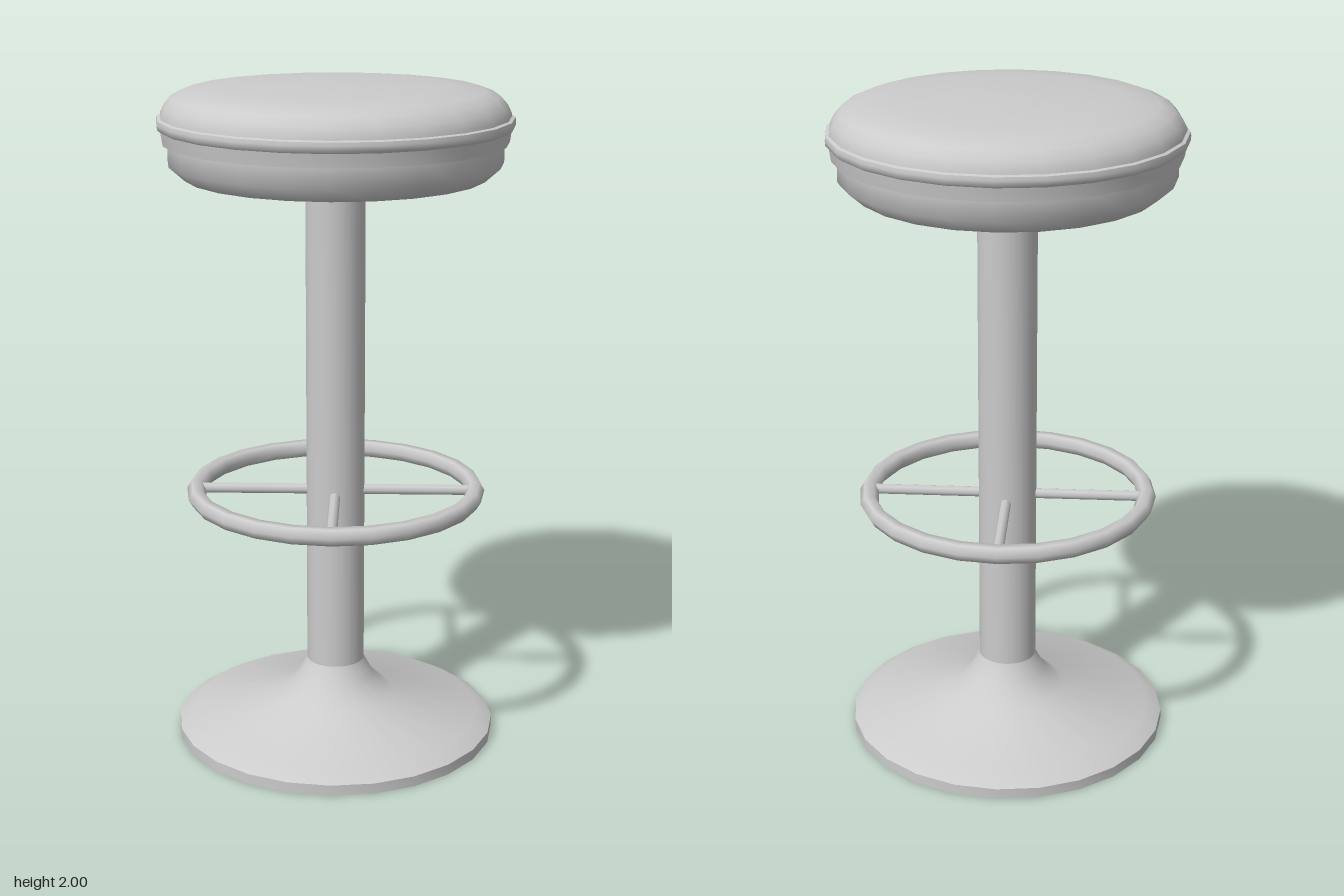
import * as THREE from 'three';
import { toCreasedNormals } from 'three/addons/utils/BufferGeometryUtils.js';

const SIDES = 24;

export function createModel() {
  const stool = new THREE.Group();
  stool.name = 'barStool';
  const solid = new THREE.MeshStandardMaterial({ color: 0xcccccc });
  const thin = new THREE.MeshStandardMaterial({ color: 0xcccccc, side: THREE.DoubleSide });

  const add = (name, geometry, material = solid) => {
    const mesh = new THREE.Mesh(geometry, material);
    mesh.name = name;
    stool.add(mesh);
    return mesh;
  };

  // Turned part from [radius, height] pairs, listed bottom to top
  const turned = (name, profile, material) => {
    const points = profile.map(([r, y]) => new THREE.Vector2(r, y));
    return add(name, toCreasedNormals(new THREE.LatheGeometry(points, SIDES), 0.9), material);
  };

  // Hollow trumpet foot
  turned('base', [
    [0.487, 0], [0.487, 0.032], [0.44, 0.06], [0.175, 0.117], [0.115, 0.175], [0.0875, 0.228],
  ], thin);

  // Column, open into the foot
  turned('column', [[0.0875, 0.228], [0.0875, 1.74]], thin);

  // Collar where the column meets the seat
  turned('collar', [[0.0875, 1.71], [0.115, 1.735]], thin);

  // Seat pan with chamfered lower edge
  turned('seatPan', [
    [0, 1.728], [0.4, 1.728], [0.44, 1.73], [0.485, 1.77], [0.485, 1.832],
  ]);

  // Lower band of the cushion
  turned('seatBand', [[0.47, 1.83], [0.5, 1.83], [0.503, 1.85], [0.507, 1.876]], thin);

  // Piping around the seam
  turned('piping', [
    [0.505, 1.868], [0.515, 1.876], [0.516, 1.89], [0.514, 1.9], [0.502, 1.904],
  ], thin);

  // Padded top
  turned('cushion', [
    [0.505, 1.885], [0.504, 1.91], [0.492, 1.935], [0.47, 1.96], [0.43, 1.976],
    [0.33, 1.987], [0.2, 1.993], [0.07, 2.0], [0, 2.0],
  ]);

  // Foot ring with a six-sided section
  const ringY = 0.775;
  const ringRadius = 0.422;
  const ring = add('footRing', new THREE.TorusGeometry(ringRadius, 0.028, 6, SIDES));
  ring.rotation.x = Math.PI / 2;
  ring.position.y = ringY;

  // Four diagonal spokes from the column to the ring
  const inner = 0.07;
  for (let i = 0; i < 4; i++) {
    const geometry = new THREE.CylinderGeometry(0.016, 0.016, ringRadius - inner, 8);
    geometry.rotateX(Math.PI / 2);
    geometry.translate(0, ringY, (ringRadius + inner) / 2);
    geometry.rotateY(Math.PI / 4 + i * Math.PI / 2);
    add('footRingSpoke', geometry);
  }

  return stool;
}
